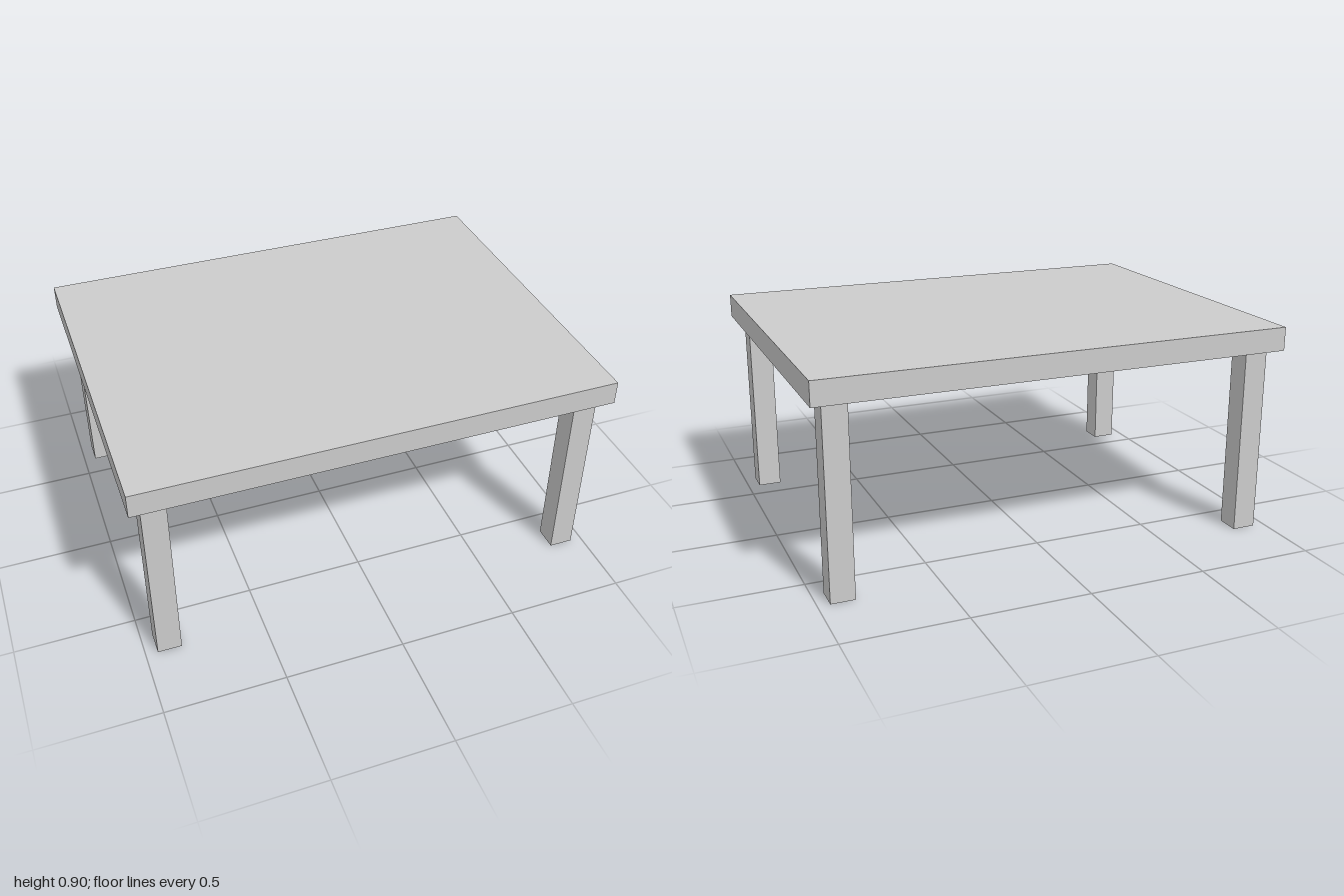
import * as THREE from 'three';

const LEG = { width: 0.1, height: 0.8, x: 0.9, z: 0.65 };
const TOP = { width: 2, thickness: 0.1, depth: 1.5 };

export function createModel() {
  const table = new THREE.Group();
  table.name = 'table';
  const material = new THREE.MeshStandardMaterial({ color: 0xcccccc });

  // Flat slab resting on the legs
  const top = new THREE.Mesh(new THREE.BoxGeometry(TOP.width, TOP.thickness, TOP.depth), material);
  top.name = 'tableTop';
  top.position.y = LEG.height + TOP.thickness / 2;
  table.add(top);

  // Four square legs, inset from the corners
  const legGeometry = new THREE.BoxGeometry(LEG.width, LEG.height, LEG.width);
  for (const [end, sz] of [['front', 1], ['back', -1]]) {
    for (const [side, sx] of [['Left', 1], ['Right', -1]]) {
      const leg = new THREE.Mesh(legGeometry, material);
      leg.name = `${end}${side}Leg`;
      leg.position.set(sx * LEG.x, LEG.height / 2, sz * LEG.z);
      table.add(leg);
    }
  }
  return table;
}
